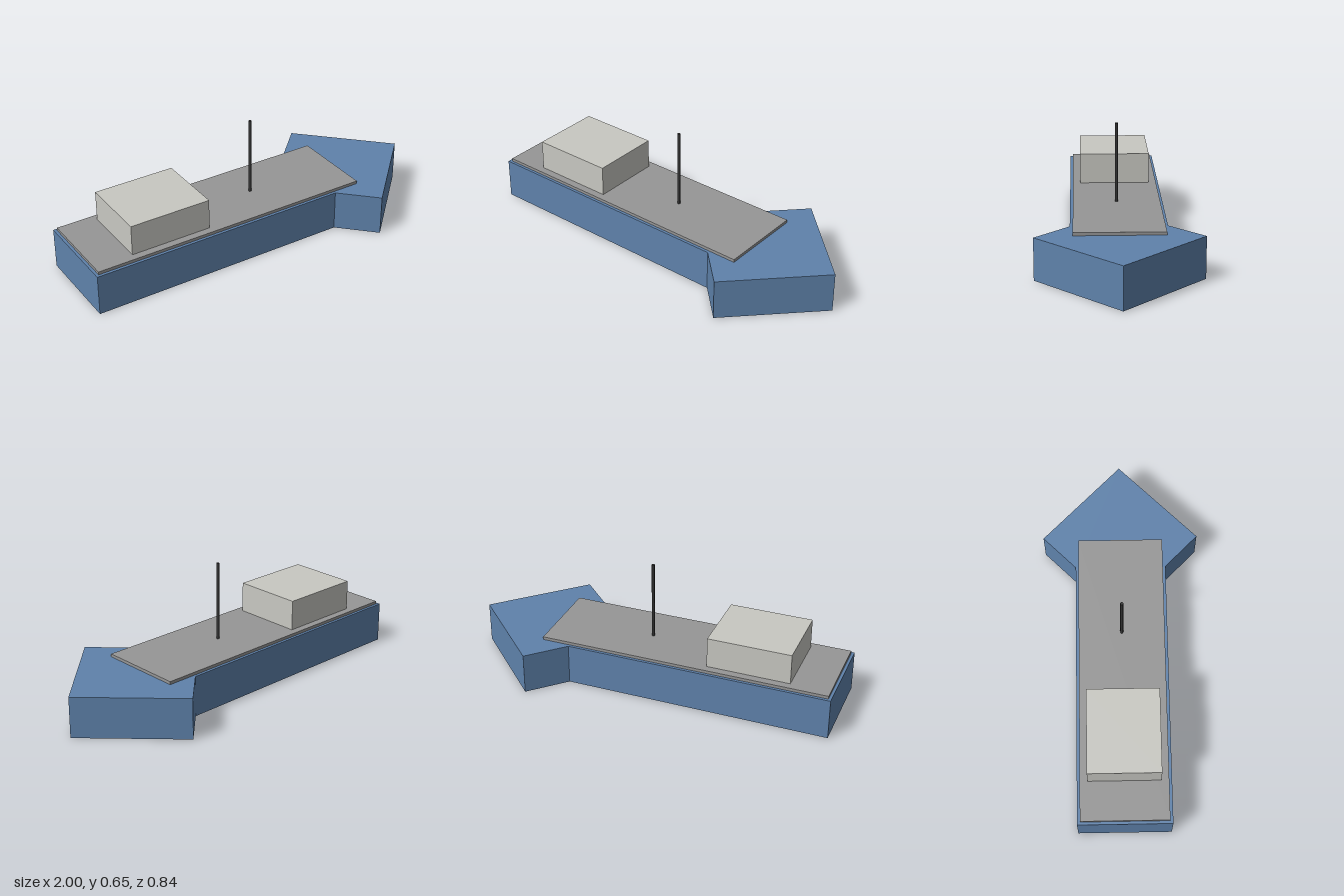
import * as THREE from 'three';

const material = (name, color) => {
  const m = new THREE.MeshStandardMaterial({ color });
  m.name = name;
  return m;
};

export function createModel() {
  const model = new THREE.Group();
  model.name = 'boat';
  const blue = material('hull blue', 0x5f82ab);
  const grey = material('deck grey', 0x969696);
  const pale = material('cabin pale grey', 0xc8c8c2);
  const dark = material('mast charcoal', 0x333333);

  const add = (name, geometry, mat, x, y) => {
    const mesh = new THREE.Mesh(geometry, mat);
    mesh.name = name;
    mesh.position.set(x, y, 0);
    model.add(mesh);
  };

  // Straight-sided hull with a flared, arrow-shaped bow
  const side = [[-1, 0.243], [0.405, 0.243], [0.58, 0.418]];
  const outline = [...side, [1, 0], ...side.map(([x, z]) => [x, -z]).reverse()];
  const hull = new THREE.ExtrudeGeometry(
    new THREE.Shape(outline.map(([x, z]) => new THREE.Vector2(x, z))),
    { depth: 0.218, bevelEnabled: false }
  );
  hull.rotateX(-Math.PI / 2);
  add('hull', hull, blue, 0, 0);

  // Deck plate, cabin and mast stacked on the hull
  add('deck', new THREE.BoxGeometry(1.542, 0.016, 0.456), grey, -0.214, 0.226);
  add('cabin', new THREE.BoxGeometry(0.44, 0.163, 0.376), pale, -0.56, 0.3155);
  const mast = new THREE.CylinderGeometry(0.008, 0.008, 0.419, 12);
  add('mast', mast, dark, 0.024, 0.4435);

  return model;
}
